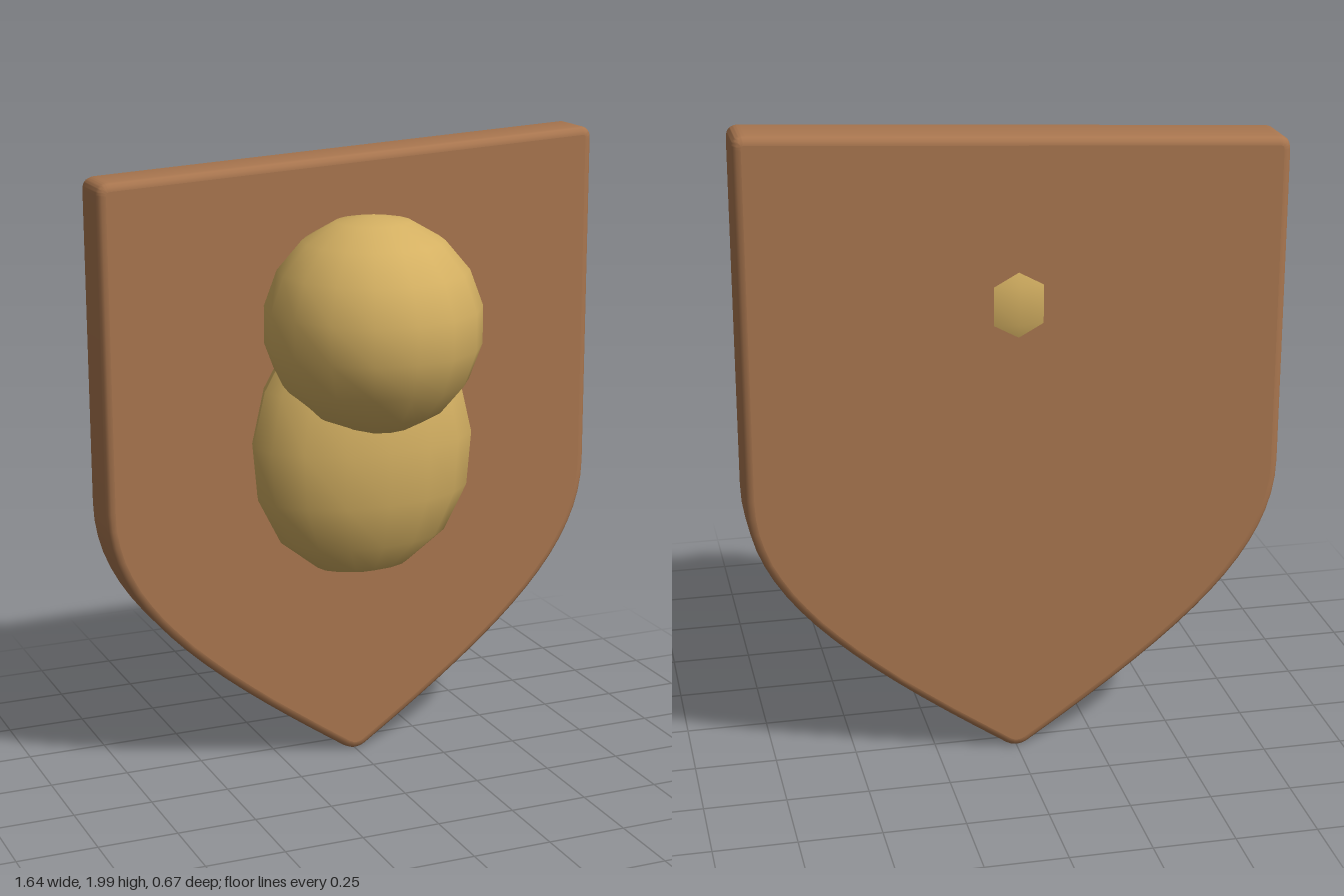
import * as THREE from 'three';
import { toCreasedNormals } from 'three/addons/utils/BufferGeometryUtils.js';

const wood = new THREE.MeshStandardMaterial({ color: 0xa9764f });
const gold = new THREE.MeshStandardMaterial({ color: 0xd4b062 });

const BACK = -0.32, FRONT = -0.14, BEVEL = 0.025;

// Shield outline: sloping top, straight sides, curved flanks meeting at a rounded tip
function shieldShape() {
  const s = new THREE.Shape();
  s.moveTo(0.04, 0.018);
  s.bezierCurveTo(0.55, 0.36, 0.82, 0.6, 0.82, 0.9);
  s.lineTo(0.82, 1.96);
  s.quadraticCurveTo(0.82, 2.0, 0.78, 1.998);
  s.lineTo(-0.78, 1.917);
  s.quadraticCurveTo(-0.82, 1.915, -0.82, 1.875);
  s.lineTo(-0.82, 0.9);
  s.bezierCurveTo(-0.82, 0.6, -0.55, 0.36, -0.04, 0.018);
  s.quadraticCurveTo(0, -0.01, 0.04, 0.018);
  return s;
}

function backboardGeometry() {
  const geo = new THREE.ExtrudeGeometry(shieldShape(), {
    depth: FRONT - BACK - 2 * BEVEL, curveSegments: 16, bevelEnabled: true,
    bevelThickness: BEVEL, bevelSize: BEVEL, bevelOffset: -BEVEL, bevelSegments: 3,
  });
  geo.translate(0, 0, BACK + BEVEL);
  const smooth = toCreasedNormals(geo, 0.6);
  // Keep the two broad faces flat while the bevel stays smooth
  const p = smooth.attributes.position, n = smooth.attributes.normal;
  for (let i = 0; i < p.count; i += 3) {
    for (const [z, dir] of [[BACK, -1], [FRONT, 1]]) {
      if ([0, 1, 2].every((k) => Math.abs(p.getZ(i + k) - z) < 1e-4)) {
        for (let k = 0; k < 3; k++) n.setXYZ(i + k, 0, 0, dir);
      }
    }
  }
  return smooth;
}

// Egg-shaped body, a little wider towards the bottom
function bodyGeometry() {
  const geo = new THREE.SphereGeometry(1, 16, 8);
  const p = geo.attributes.position;
  for (let i = 0; i < p.count; i++) {
    const y = p.getY(i), taper = 1 - 0.1 * y;
    p.setXYZ(i, p.getX(i) * taper * 0.365, y * 0.45, p.getZ(i) * taper * 0.228);
  }
  geo.computeVertexNormals();
  return geo;
}

export function createModel() {
  const group = new THREE.Group();
  const add = (name, geo, mat, x, y, z) => {
    const mesh = new THREE.Mesh(geo, mat);
    mesh.name = name;
    mesh.position.set(x, y, z);
    group.add(mesh);
  };
  add('backboard', backboardGeometry(), wood, 0, 0, 0);
  add('head', new THREE.SphereGeometry(0.34, 16, 9), gold, 0, 1.455, 0);
  add('body', bodyGeometry(), gold, 0, 1.08, -0.09);
  return group;
}
